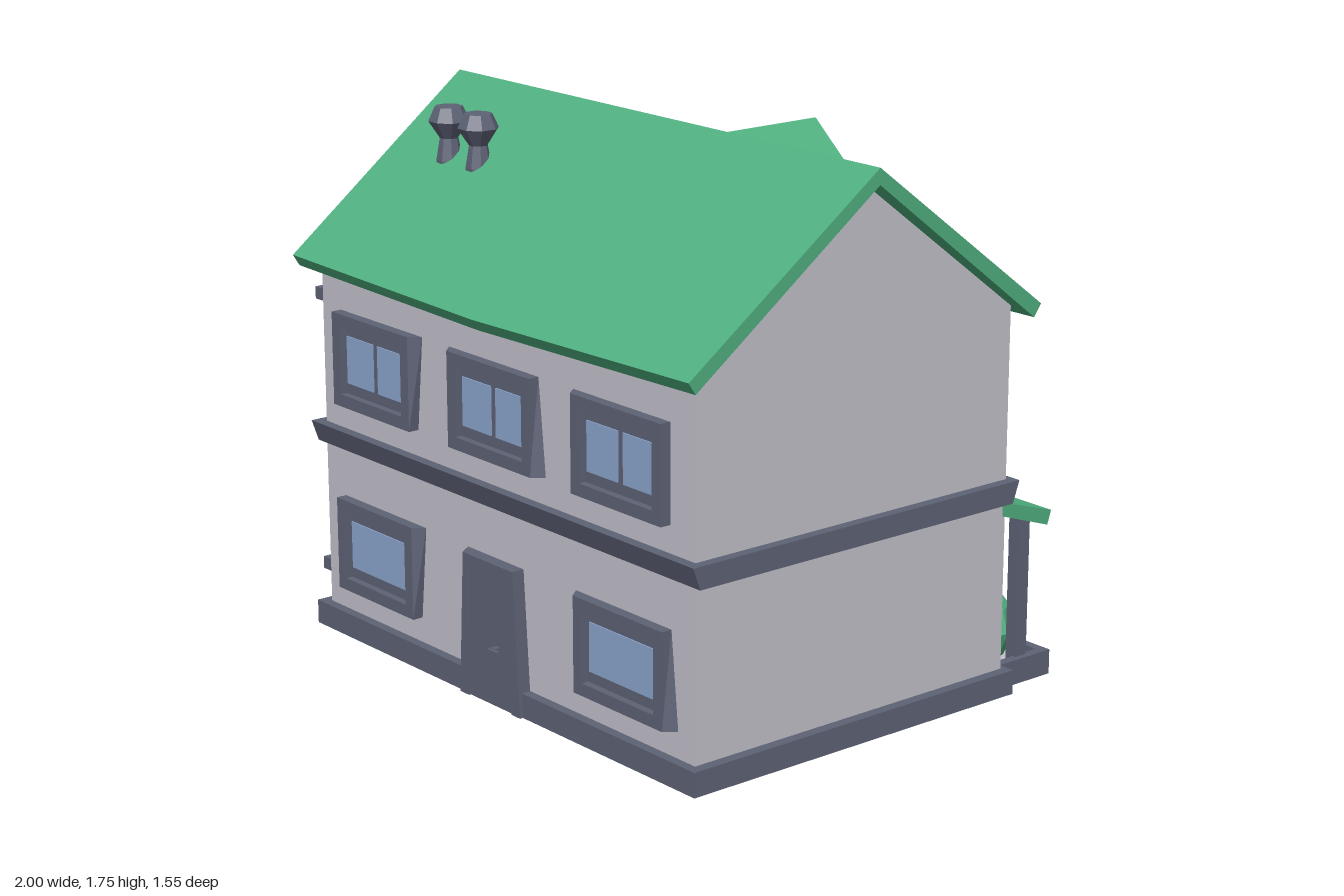
import * as THREE from 'three';

const mat = (name, color) => Object.assign(new THREE.MeshStandardMaterial({ color, flatShading: true }), { name });

export function createModel() {
  const green = mat('leaf green', 0x50b080);
  const wall = mat('pale wall', 0xc4c1cb);
  const slate = mat('slate trim', 0x5e6376);
  const glass = mat('window glass', 0x8ca6d0);
  const house = new THREE.Group();
  house.name = 'house';

  const add = (name, geo, material, parent = house) => {
    const m = new THREE.Mesh(geo, material);
    m.name = name;
    parent.add(m);
    return m;
  };
  const box = (name, x0, x1, y0, y1, z0, z1, material, parent) => {
    const m = add(name, new THREE.BoxGeometry(x1 - x0, y1 - y0, z1 - z0), material, parent);
    m.position.set((x0 + x1) / 2, (y0 + y1) / 2, (z0 + z1) / 2);
    return m;
  };
  // Moves every vertex by a rule
  const warp = (geo, rule) => {
    const p = geo.attributes.position, v = new THREE.Vector3();
    for (let i = 0; i < p.count; i++) {
      rule(v.fromBufferAttribute(p, i));
      p.setXYZ(i, v.x, v.y, v.z);
    }
    geo.computeVertexNormals();
    return geo;
  };
  const poly = (pts) => new THREE.Shape(pts.map(([a, b]) => new THREE.Vector2(a, b)));
  const rect = (x0, x1, y0, y1) => [[x0, y0], [x1, y0], [x1, y1], [x0, y1]];
  const extrude = (shape, depth, steps = 1) =>
    new THREE.ExtrudeGeometry(shape, { depth, steps, bevelEnabled: false });
  // [z, y] outline swept along x
  const prism = (pts, x0, x1, steps) =>
    extrude(poly(pts.map(([z, y]) => [-z, y])), x1 - x0, steps).rotateY(Math.PI / 2).translate(x0, 0, 0);

  // Walls, plinth and floor band
  add('walls', prism([[0.69, 0.02], [0.69, 1.243], [0.08, 1.7], [-0.54, 1.235], [-0.54, 0.02]], -0.92, 0.92), wall);
  box('plinth', -0.955, 0.955, 0, 0.078, -0.56, 0.722, slate);
  add('floorBand', prism([[0.725, 0.69], [0.7, 0.62], [-0.54, 0.62], [-0.565, 0.69]], -0.955, 0.953), slate);

  // Main roof, with bowed eaves and tapered ends
  const roof = prism([[0.08, 1.75], [0.78, 1.225], [0.755, 1.188], [0.08, 1.7], [-0.6, 1.188], [-0.63, 1.225]], -1, 1, 2);
  add('mainRoof', warp(roof, (v) => {
    const d = v.z - 0.08, a = Math.abs(v.x);
    v.z -= d * 0.025 * a;
    v.y += Math.abs(d) * 0.019 * a;
    v.x *= 1 - 0.035 * Math.abs(d);
  }), green);

  // Frame whose wall side is skewed outward: flare = [topLeft, topRight, bottomLeft, bottomRight]
  const skewFrame = (w, y0, y1, depth, hole, flare) => {
    const s = poly(rect(-w / 2, w / 2, y0, y1));
    s.holes.push(new THREE.Path(poly(hole).getPoints()));
    return warp(extrude(s, depth), (v) => {
      if (v.z > 0.001 || Math.abs(v.x) < w / 2 - 0.001) return;
      const top = v.y > (y0 + y1) / 2;
      v.x += v.x < 0 ? -flare[top ? 0 : 2] : flare[top ? 1 : 3];
    });
  };
  const addWindow = (parent, x, y0, panes, flare) => {
    const g = new THREE.Group();
    g.name = 'window';
    g.position.x = x;
    parent.add(g);
    const y1 = y0 + 0.303;
    add('outerFrame', skewFrame(0.41, y0, y1, 0.036, rect(-0.165, 0.165, y0 + 0.04, y1 - 0.04), flare), slate, g);
    box('innerFrame', -0.17, 0.17, y0 + 0.035, y1 - 0.035, 0, 0.012, slate, g);
    const step = 0.31 / panes;
    for (let i = 0; i < panes; i++) {
      const left = -0.155 + i * step, gap = panes > 1 ? 0.012 : 0;
      box('pane', left + (i ? gap : 0), left + step - (i ? 0 : gap), y0 + 0.075, y0 + 0.23, 0.012, 0.016, glass, g);
    }
  };

  // Front and back faces share the same layout
  const addFace = (name, z, turn) => {
    const f = new THREE.Group();
    f.name = name;
    f.position.z = z;
    f.rotation.y = turn;
    house.add(f);
    addWindow(f, -0.615, 0.775, 2, [0, 0.03, 0, 0]);
    addWindow(f, 0, 0.775, 2, [0.035, 0, 0, 0.03]);
    addWindow(f, 0.605, 0.775, 2, [0.03, 0, 0, 0]);
    addWindow(f, -0.615, 0.16, 1, [0, 0.03, 0.03, 0]);
    addWindow(f, 0.61, 0.16, 1, [0.03, 0, 0, 0.03]);
    // Door with surround and lever handle
    const surround = poly([[-0.155, 0], [-0.13, 0.46], [0.12, 0.46], [0.15, 0], [0.107, 0], [0.107, 0.42], [-0.11, 0.42], [-0.11, 0]]);
    add('doorSurround', warp(extrude(surround, 0.043), (v) => {
      if (v.z < 0.001 && v.x < -0.12) v.x -= v.y > 0.2 ? 0.03 : 0;
    }), slate, f);
    box('doorPanel', -0.11, 0.107, 0, 0.42, 0, 0.036, slate, f);
    box('handleStem', 0.025, 0.045, 0.175, 0.197, 0.036, 0.06, slate, f);
    box('handleLever', 0.02, 0.068, 0.177, 0.195, 0.055, 0.068, slate, f);
    return f;
  };
  addFace('frontFace', 0.69, 0);
  const back = addFace('backFace', -0.54, Math.PI);
  box('doorGlass', -0.05, 0.01, 0.12, 0.36, 0.036, 0.04, glass, back);

  // Dormer: walls, folded roof and triangular window
  const dormer = new THREE.Group();
  dormer.name = 'dormer';
  house.add(dormer);
  const dormerWall = poly([[-0.205, 1.28], [0.205, 1.28], [0.205, 1.46], [0, 1.62], [-0.205, 1.46]]);
  add('dormerWalls', extrude(dormerWall, 0.45).translate(0, 0, -0.5), wall, dormer);
  const dormerRoof = poly([[-0.23, 1.49], [-0.222, 1.45], [0, 1.615], [0.222, 1.45], [0.23, 1.49], [0, 1.66]]);
  add('dormerRoof', warp(extrude(dormerRoof, 0.54).translate(0, 0, -0.58), (v) => {
    const a = Math.abs(v.x);
    if (v.z < -0.5) v.z += a * 0.09;
    else v.z -= a * 1.0;
  }), green, dormer);
  const tri = (s) => [[-0.165 * s, 1.435 - 0.055 * s], [0.165 * s, 1.435 - 0.055 * s], [0, 1.435 + 0.115 * s]];
  const triFrame = poly(tri(1));
  triFrame.holes.push(new THREE.Path(poly(tri(0.6)).getPoints()));
  add('dormerFrame', extrude(triFrame, 0.035).translate(0, 0, -0.533), slate, dormer);
  add('dormerGlass', extrude(poly(tri(0.62)), 0.008).translate(0, 0, -0.508), glass, dormer);

  // Chimney pots
  const potProfile = [[0, 1.5], [0.042, 1.5], [0.042, 1.535], [0.03, 1.605], [0.066, 1.66], [0.045, 1.705], [0, 1.705]];
  for (const x of [-0.705, -0.55]) {
    const pot = add('chimneyPot', new THREE.LatheGeometry(potProfile.map(([r, y]) => new THREE.Vector2(r, y)), 8), slate);
    pot.position.set(x, 0, 0.34);
    pot.rotation.y = 0.35;
  }

  // Drainpipe with brackets
  const pipe = add('drainpipe', new THREE.CylinderGeometry(0.024, 0.024, 1.13, 8), slate);
  pipe.position.set(-0.949, 0.64, 0.64);
  for (const y of [0.19, 0.655, 1.1]) box('pipeBracket', -0.985, -0.915, y - 0.02, y + 0.02, 0.605, 0.675, slate);

  // Porch roof
  const porch = prism([[-0.53, 0.617], [-0.765, 0.55], [-0.75, 0.505], [-0.53, 0.573]], -0.92, 0.92);
  add('porchRoof', warp(porch, (v) => {
    if (v.z < -0.7 && v.x > 0) v.z += 0.022;
    if (v.z < -0.76) v.x = Math.max(v.x, -0.905);
  }), green);

  // Planters with posts and bushes on each side of the back door
  const bushProfile = [[0, 0], [0.06, 0], [0.1, 0.4], [0.078, 0.72], [0.03, 1], [0, 1]];
  const addBush = (x, height) => {
    const pts = bushProfile.map(([r, y]) => new THREE.Vector2(r, y * height));
    add('bush', new THREE.LatheGeometry(pts, 8), green).position.set(x, 0.045, -0.66);
  };
  for (const s of [-1, 1]) {
    const cx = s * 0.615;
    const rim = poly(rect(-0.287, 0.287, 0.535, 0.775));
    rim.holes.push(new THREE.Path(poly(rect(-0.255, 0.255, 0.56, 0.745)).getPoints()));
    add('planterRim', extrude(rim, 0.08).rotateX(-Math.PI / 2), slate).position.x = cx;
    box('planterBase', cx - 0.27, cx + 0.27, 0, 0.04, -0.76, -0.54, slate);
    box('planterFloor', cx - 0.256, cx + 0.256, 0.04, 0.046, -0.746, -0.559, wall);
    for (const x of [0.378, 0.86]) box('porchPost', s * x - 0.022, s * x + 0.022, 0.04, 0.545, -0.69, -0.645, slate);
  }
  addBush(0.73, 0.228);
  addBush(0.505, 0.165);
  addBush(-0.51, 0.228);
  addBush(-0.71, 0.165);

  return house;
}
